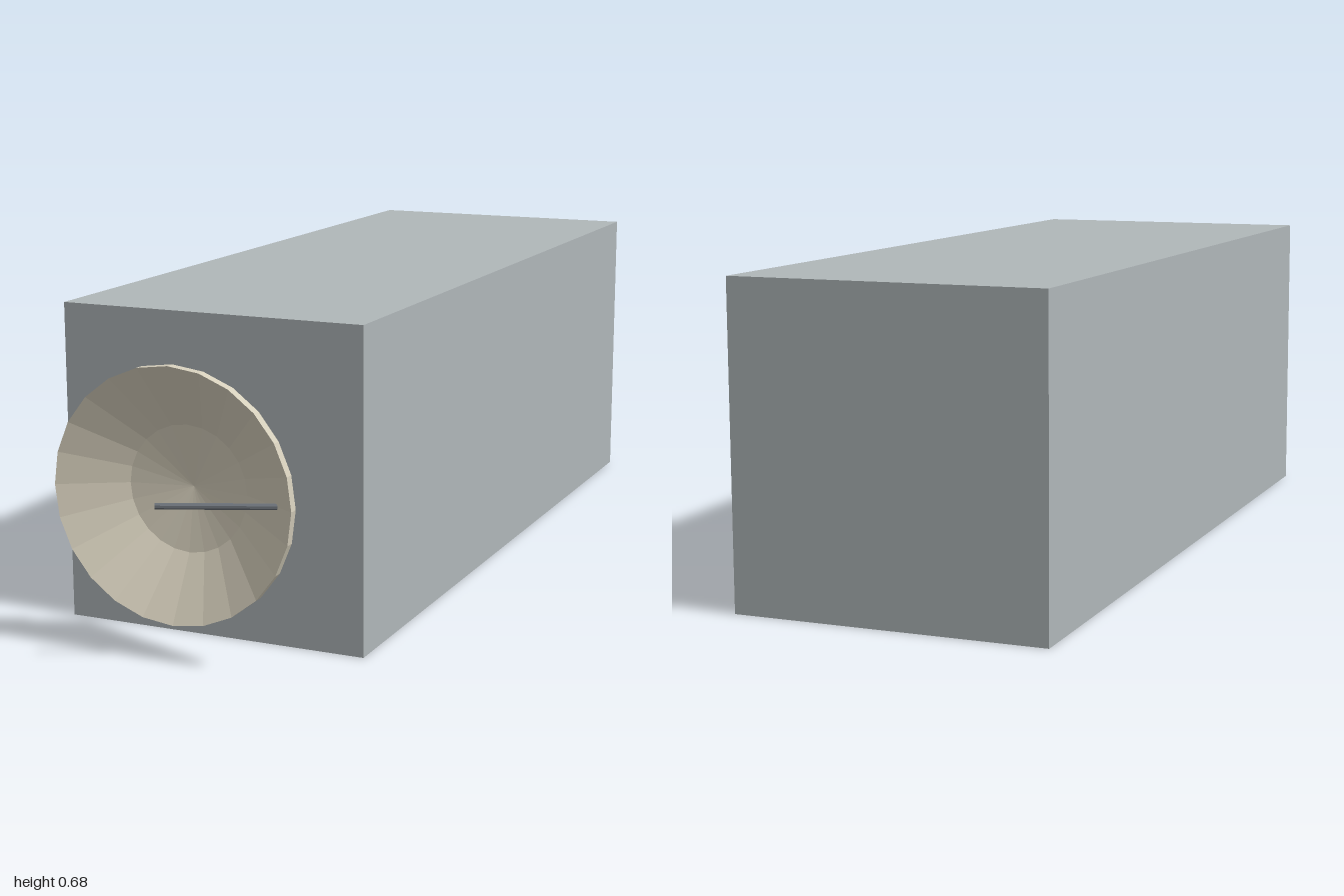
import * as THREE from 'three';

const bodyGrey = new THREE.MeshStandardMaterial({ color: 0xb0b7b9 });
bodyGrey.name = 'body grey';
const dishCream = new THREE.MeshStandardMaterial({ color: 0xd6cfbc });
dishCream.name = 'dish cream';
const rodGrey = new THREE.MeshStandardMaterial({ color: 0x6c7279 });
rodGrey.name = 'rod dark grey';

const AXIS_Y = 0.3415; // height of the body's long axis

// Give every face its own normal
function faceted(geometry) {
  const flat = geometry.toNonIndexed();
  flat.computeVertexNormals();
  return flat;
}

function addPart(group, name, geometry, material) {
  const mesh = new THREE.Mesh(geometry, material);
  mesh.name = name;
  group.add(mesh);
  return mesh;
}

// Straight rod between two points
function rodGeometry(from, to, radius) {
  const direction = to.clone().sub(from);
  const geometry = new THREE.CylinderGeometry(radius, radius, direction.length(), 8);
  const turn = new THREE.Quaternion().setFromUnitVectors(
    new THREE.Vector3(0, 1, 0), direction.normalize());
  geometry.applyQuaternion(turn);
  const middle = from.clone().add(to).multiplyScalar(0.5);
  return geometry.translate(middle.x, middle.y, middle.z);
}

export function createModel() {
  const model = new THREE.Group();
  model.name = 'boxWithDish';

  // Long box body
  const body = addPart(model, 'body', new THREE.BoxGeometry(0.68, 0.683, 1.755), bodyGrey);
  body.position.set(0, AXIS_Y, -0.1225);

  // Dish: conical back, short rim, two-step hollow front
  const profile = [
    [0, 0.79], [0.265, 0.91], [0.265, 0.93], [0.1325, 0.855], [0, 0.83],
  ].map(([r, z]) => new THREE.Vector2(r, z));
  const dishShape = new THREE.LatheGeometry(profile, 24).rotateX(Math.PI / 2);
  const dish = addPart(model, 'dish', faceted(dishShape), dishCream);
  dish.position.y = AXIS_Y;

  // Feed arm leaning from the dish wall to the focus
  addPart(model, 'feedArm', faceted(rodGeometry(
    new THREE.Vector3(0.223, AXIS_Y, 0.903),
    new THREE.Vector3(0.002, AXIS_Y, 0.994), 0.0065)), rodGrey);

  return model;
}
